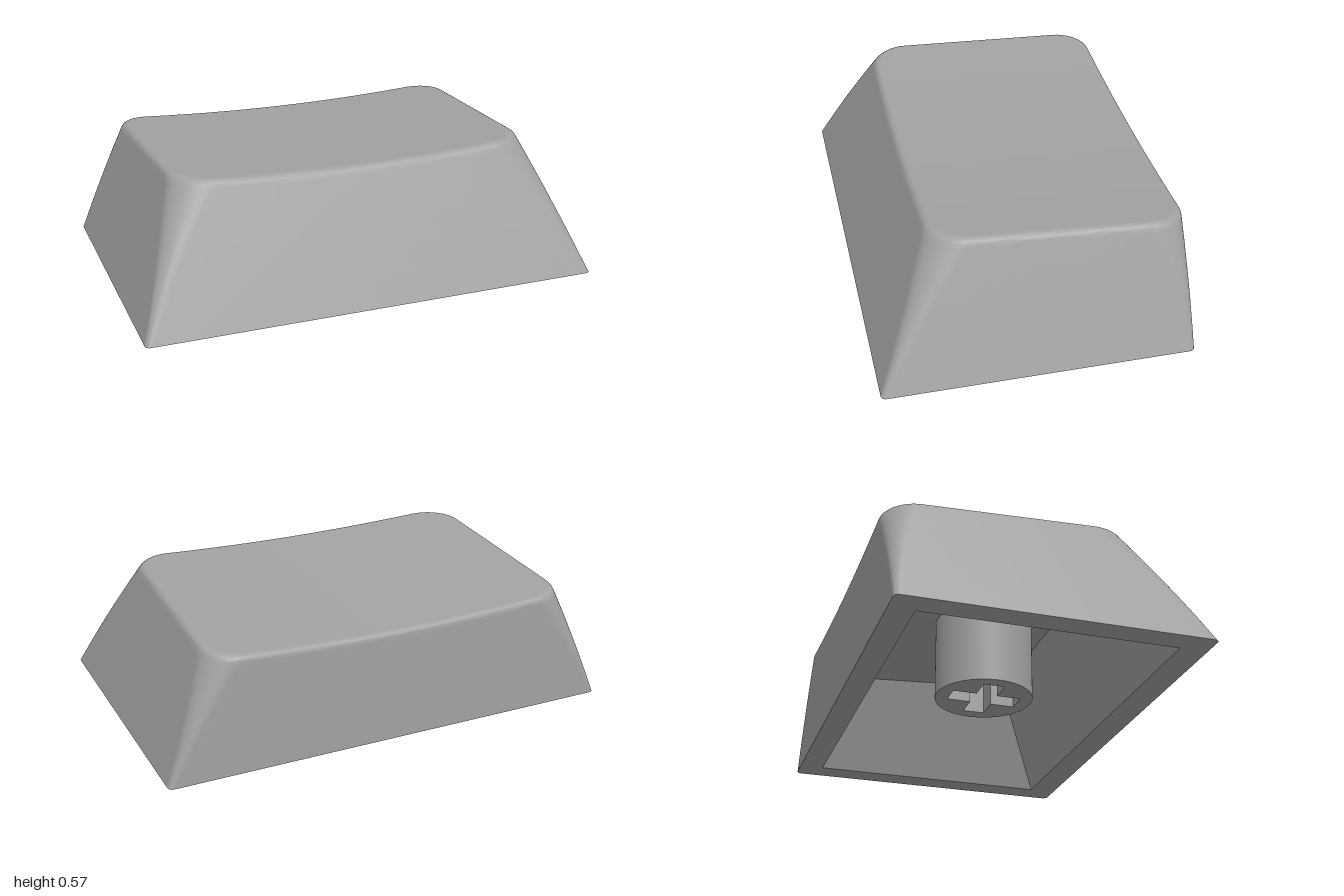
import * as THREE from 'three';
import { toCreasedNormals } from 'three/addons/utils/BufferGeometryUtils.js';

const CORNER = 12, SIDE = 16, FILLET = 0.022;

// Height of the dished, backward-sloping top
const topHeight = (x, z) => 0.527 + 0.054 * z + 0.03 * (x / 0.77) ** 2;

// Rounded outline of the tapered body at a height given per point, inset by e.
// heightAt(x, z) is solved by a few iterations because the outline shrinks with y.
function outline(heightAt, e = 0) {
  const at = (k, f, line, y) => {
    const hx = 1 - 0.375 * y - e, zf = 0.655 - 0.45 * y - e, zb = -0.655 + e;
    const r = Math.max(0.022 + 0.09 * y + 0.28 * y * y - e, 0.005);
    const arc = (c, t) => {
      const a = (c + t) * Math.PI / 2, q = c % 4;
      const cx = q === 0 || q === 3 ? hx - r : r - hx;
      const cz = q < 2 ? zb + r : zf - r;
      return new THREE.Vector3(cx + r * Math.cos(a), y, cz - r * Math.sin(a));
    };
    return line ? arc(k, 1).lerp(arc(k + 1, 0), f) : arc(k, f);
  };
  const solve = (k, f, line) => {
    let y = 0.5, p;
    for (let i = 0; i < 6; i++) {
      p = at(k, f, line, y);
      y = heightAt(p.x, p.z);
    }
    return at(k, f, line, y);
  };
  const pts = [];
  for (let k = 0; k < 4; k++) {
    for (let i = 0; i < CORNER; i++) pts.push(solve(k, i / CORNER, false));
    // Points crowd towards the corners so the flats shade evenly
    for (let i = 0; i < SIDE; i++) pts.push(solve(k, 0.5 - 0.5 * Math.cos(Math.PI * i / SIDE), true));
  }
  return pts;
}

// Skin over a list of closed rings with equal point counts
function loft(rings, crease) {
  const n = rings[0].length, pos = [], idx = [];
  rings.forEach(r => r.forEach(p => pos.push(p.x, p.y, p.z)));
  for (let i = 0; i < rings.length - 1; i++) {
    for (let j = 0; j < n; j++) {
      const a = i * n + j, b = i * n + (j + 1) % n;
      idx.push(a, b, b + n, a, b + n, a + n);
    }
  }
  const g = new THREE.BufferGeometry();
  g.setAttribute('position', new THREE.Float32BufferAttribute(pos, 3));
  g.setIndex(idx);
  return toCreasedNormals(g, crease);
}

export function createModel() {
  const group = new THREE.Group();
  const material = new THREE.MeshStandardMaterial({ color: 0xa2a2a2 });
  const add = (name, geometry) => {
    const mesh = new THREE.Mesh(geometry, material);
    mesh.name = name;
    group.add(mesh);
    return mesh;
  };

  // Outer body: tapered walls, rounded top edge, dished top
  const rings = [0, 0.2, 0.4, 0.6, 0.8, 0.97].map(f =>
    outline((x, z) => f * (topHeight(x, z) - FILLET)));
  const base = rings[0];
  for (let i = 0; i <= 6; i++) {
    const a = (i / 6) * Math.PI / 2;
    const drop = FILLET * (1 - Math.sin(a));
    rings.push(outline((x, z) => topHeight(x, z) - drop, FILLET * (1 - Math.cos(a))));
  }
  const edge = rings[rings.length - 1], midZ = -0.13;
  for (const s of [0.985, 0.875, 0.75, 0.625, 0.5, 0.375, 0.25, 0.125, 0]) {
    rings.push(edge.map(p => {
      const x = p.x * s, z = midZ + (p.z - midZ) * s;
      return new THREE.Vector3(x, topHeight(x, z), z);
    }));
  }
  add('outerShell', loft(rings, 0.6));

  // Hollow inside: sharp-cornered walls and a sloping ceiling
  const ceiling = z => 0.453 + 0.054 * z;
  const corners = [[1, 1], [-1, 1], [-1, -1], [1, -1]];
  const cavityRing = (yf, yb) => corners.map(([sx, sz]) => {
    const y = sz > 0 ? yf : yb;
    return new THREE.Vector3(sx * (0.888 - 0.375 * y), y, sz > 0 ? 0.535 - 0.45 * y : -0.547);
  });
  const low = cavityRing(0, 0);
  const high = cavityRing(ceiling(0.33), ceiling(-0.547));
  const middle = high.map(() => new THREE.Vector3(0, ceiling(-0.11), -0.11));
  add('innerShell', loft([low, high, middle], 0.1));

  // Flat rim around the underside
  const rim = new THREE.Shape(base.map(p => new THREE.Vector2(p.x, p.z)));
  rim.holes.push(new THREE.Path(low.map(p => new THREE.Vector2(p.x, p.z))));
  add('bottomRim', new THREE.ShapeGeometry(rim).rotateX(Math.PI / 2));

  // Round stem with a cross-shaped socket
  const stem = new THREE.Shape().absarc(0, 0, 0.218, 0, Math.PI * 2);
  const L = 0.155, w = 0.048;
  const cross = [];
  const centre = new THREE.Vector2();
  for (let k = 0; k < 4; k++) {
    for (const [x, y] of [[L, -w], [L, w], [w, w]]) {
      cross.push(new THREE.Vector2(x, y).rotateAround(centre, k * Math.PI / 2));
    }
  }
  stem.holes.push(new THREE.Path(cross));
  const stemGeometry = new THREE.ExtrudeGeometry(stem, { depth: 0.4, bevelEnabled: false, curveSegments: 40 });
  add('stem', toCreasedNormals(stemGeometry.rotateX(-Math.PI / 2), 0.5)).position.y = 0.075;

  return group;
}
